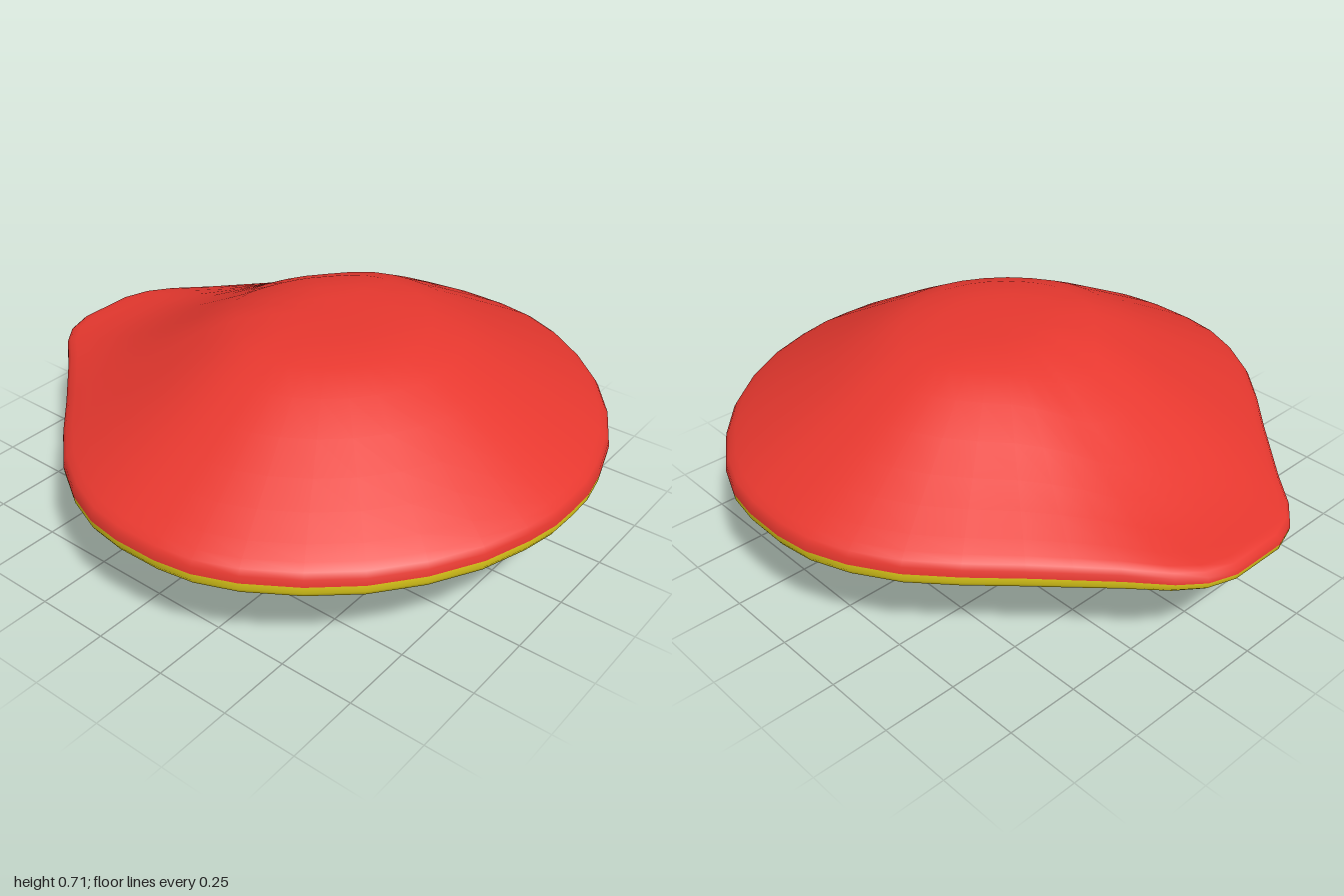
import * as THREE from 'three';

const MID = 0.36, CX = 0.1;
const { clamp, lerp, smoothstep } = THREE.MathUtils;

// Half outline (x, z) from the tail tip round to the broad end; mirrored in z.
const half = [
  [-1, 0], [-1, 0.1], [-0.97, 0.19], [-0.91, 0.265], [-0.8, 0.36], [-0.7, 0.455], [-0.6, 0.55],
  [-0.47, 0.68], [-0.34, 0.795], [-0.2, 0.88], [-0.07, 0.93], [0.05, 0.947], [0.2, 0.945],
  [0.32, 0.925], [0.45, 0.872], [0.6, 0.775], [0.73, 0.66], [0.84, 0.52], [0.925, 0.365],
  [0.975, 0.21], [0.997, 0.1], [1, 0],
];
const outline = [...half, ...half.slice(1, -1).reverse().map(([x, z]) => [x, -z])];

// Rings: [radial fraction, height on the round side, height along the tail]
const rings = [
  [0.12, 0.356, 0.354], [0.22, 0.354, 0.342], [0.35, 0.341, 0.296], [0.47, 0.302, 0.223],
  [0.6, 0.24, 0.147], [0.72, 0.18, 0.09], [0.82, 0.13, 0.058], [0.91, 0.084, 0.042],
  [0.96, 0.057, 0.036], [0.985, 0.041, 0.029], [0.997, 0.023, 0.018], [1, 0, 0],
];

// How far the direction of an outline point follows the tail profile (0 to 1).
function tailWeight(x, z) {
  const angle = Math.abs(Math.atan2(z, CX - x));
  const reach = clamp((Math.hypot(x - CX, z) - 0.85) / 0.25, 0, 1);
  return reach * (1 - smoothstep(angle, 0.7, 1.2));
}

// One half of the shell: sign +1 is the top, -1 the bottom.
function shell(name, color, sign) {
  const pos = [CX, MID + sign * 0.356, 0], index = [], n = outline.length;
  for (const [t, round, tail] of rings) {
    for (const [x, z] of outline) {
      pos.push(CX + (x - CX) * t, MID + sign * lerp(round, tail, tailWeight(x, z)), z * t);
    }
  }
  const face = (a, b, c) => (sign > 0 ? index.push(a, b, c) : index.push(a, c, b));
  for (let i = 0; i < n; i++) {
    const j = (i + 1) % n;
    face(0, 1 + i, 1 + j);
    for (let r = 0; r < rings.length - 1; r++) {
      const a = 1 + r * n, b = a + n;
      face(a + i, b + i, b + j);
      face(a + i, b + j, a + j);
    }
  }
  const geo = new THREE.BufferGeometry();
  geo.setAttribute('position', new THREE.Float32BufferAttribute(pos, 3));
  geo.setIndex(index);
  geo.computeVertexNormals();
  const mesh = new THREE.Mesh(geo, new THREE.MeshStandardMaterial({ color }));
  mesh.name = name;
  return mesh;
}

export function createModel() {
  const group = new THREE.Group();
  group.name = 'shell';
  group.add(shell('upperShell', 0xe7382f, 1), shell('lowerShell', 0xebd61c, -1));
  return group;
}
